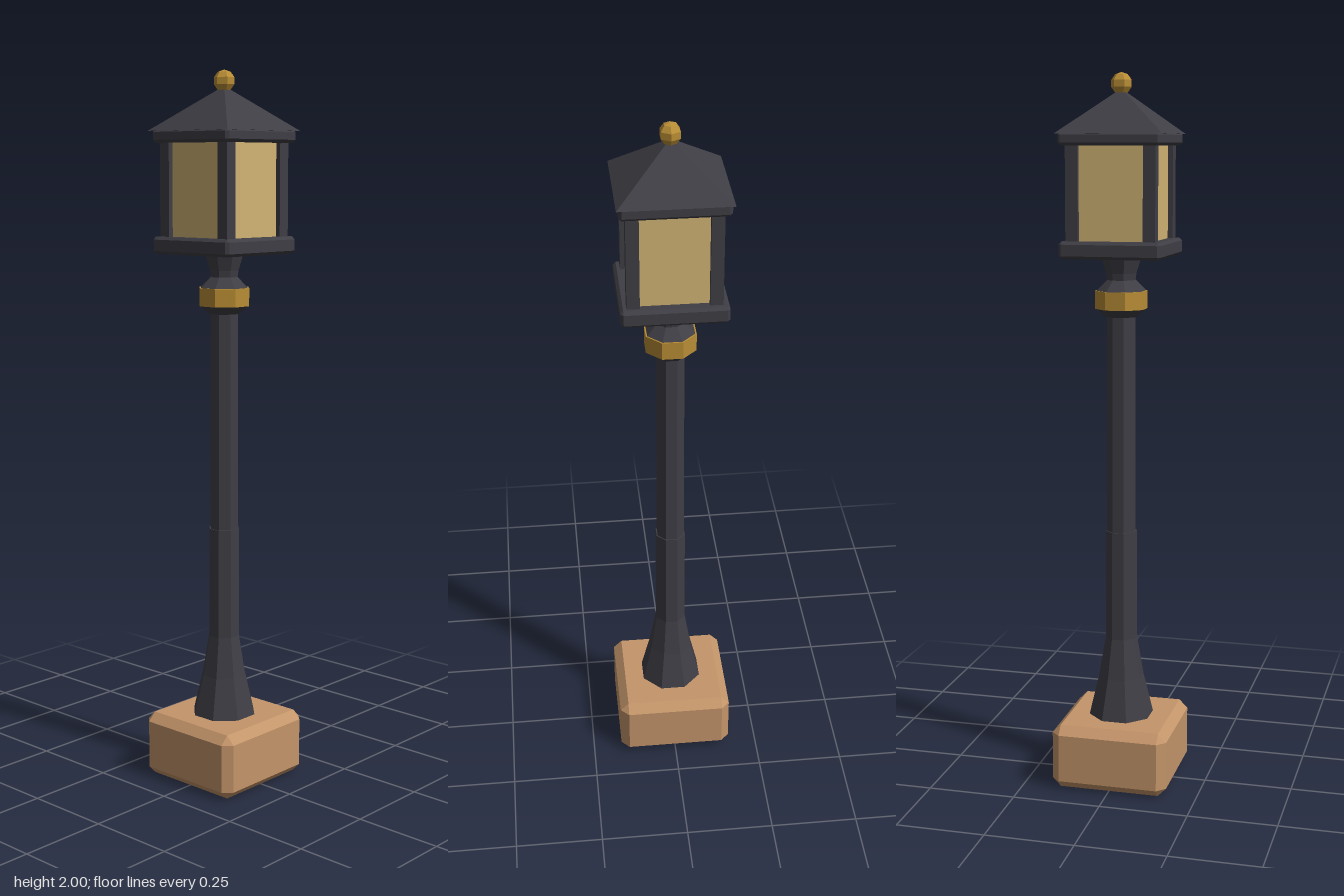
import * as THREE from 'three';
import { ConvexGeometry } from 'three/addons/geometries/ConvexGeometry.js';

function material(name, color) {
  const m = new THREE.MeshStandardMaterial({ color, flatShading: true });
  m.name = name;
  return m;
}

// Square block with all edges chamfered; half = half width
function chamferedBlock(half, y0, y1, bevel) {
  const hy = (y1 - y0) / 2;
  const points = [];
  for (const x of [-1, 1]) for (const y of [-1, 1]) for (const z of [-1, 1]) {
    for (let axis = 0; axis < 3; axis++) {
      const inset = [bevel, bevel, bevel];
      inset[axis] = 0;
      points.push(new THREE.Vector3(
        x * (half - inset[0]), y * (hy - inset[1]), z * (half - inset[2])));
    }
  }
  return new ConvexGeometry(points).translate(0, (y0 + y1) / 2, 0);
}

// Eight-sided turned profile with flats facing front; pairs are [apothem, y]
function octagonal(profile) {
  const points = profile.map(([r, y]) => new THREE.Vector2(r / Math.cos(Math.PI / 8), y));
  return new THREE.LatheGeometry(points, 8, Math.PI / 8);
}

export function createModel() {
  const group = new THREE.Group();
  const stone = material('warm stone', 0xc4956a);
  const iron = material('dark iron', 0x3f3e45);
  const brass = material('brass', 0xb88d35);
  const glass = material('amber glass', 0xd2b474);

  function add(name, geometry, mat) {
    const mesh = new THREE.Mesh(geometry, mat);
    mesh.name = name;
    group.add(mesh);
    return mesh;
  }

  // Plinth and pole
  add('plinth', chamferedBlock(0.166, 0, 0.185, 0.024), stone);
  add('poleFoot', octagonal([
    [0, 0.18], [0.087, 0.18], [0.06, 0.3], [0.042, 0.416], [0.041, 0.73], [0, 0.73]]), iron);
  add('poleShaft', octagonal([[0.038, 0.72], [0.037, 1.35]]), iron);

  // Collar with brass band, and the neck flaring up to the lantern
  add('collar', octagonal([
    [0, 1.34], [0.042, 1.34], [0.064, 1.362], [0.064, 1.412], [0.036, 1.442], [0, 1.442]]), iron);
  add('collarBand', octagonal([
    [0.062, 1.362], [0.068, 1.362], [0.068, 1.412], [0.062, 1.412]]), brass);
  add('neck', octagonal([[0.035, 1.43], [0.039, 1.46], [0.053, 1.508]]), iron);

  // Lantern body
  add('lanternFloor', chamferedBlock(0.141, 1.505, 1.552, 0.008), iron);
  add('lanternGlass', new THREE.BoxGeometry(0.22, 0.26, 0.22).translate(0, 1.68, 0), glass);
  for (const x of [-1, 1]) for (const z of [-1, 1]) {
    add('cornerPost', new THREE.BoxGeometry(0.034, 0.264, 0.034)
      .translate(x * 0.107, 1.68, z * 0.107), iron);
  }
  add('lanternCeiling', chamferedBlock(0.141, 1.805, 1.842, 0.008), iron);

  // Pyramid roof and finial
  add('roof', new THREE.CylinderGeometry(0.008, 0.147 * Math.SQRT2, 0.115, 4)
    .rotateY(Math.PI / 4).translate(0, 1.8945, 0), iron);
  add('finial', new THREE.SphereGeometry(0.03, 6, 5).translate(0, 1.97, 0), brass);

  return group;
}
